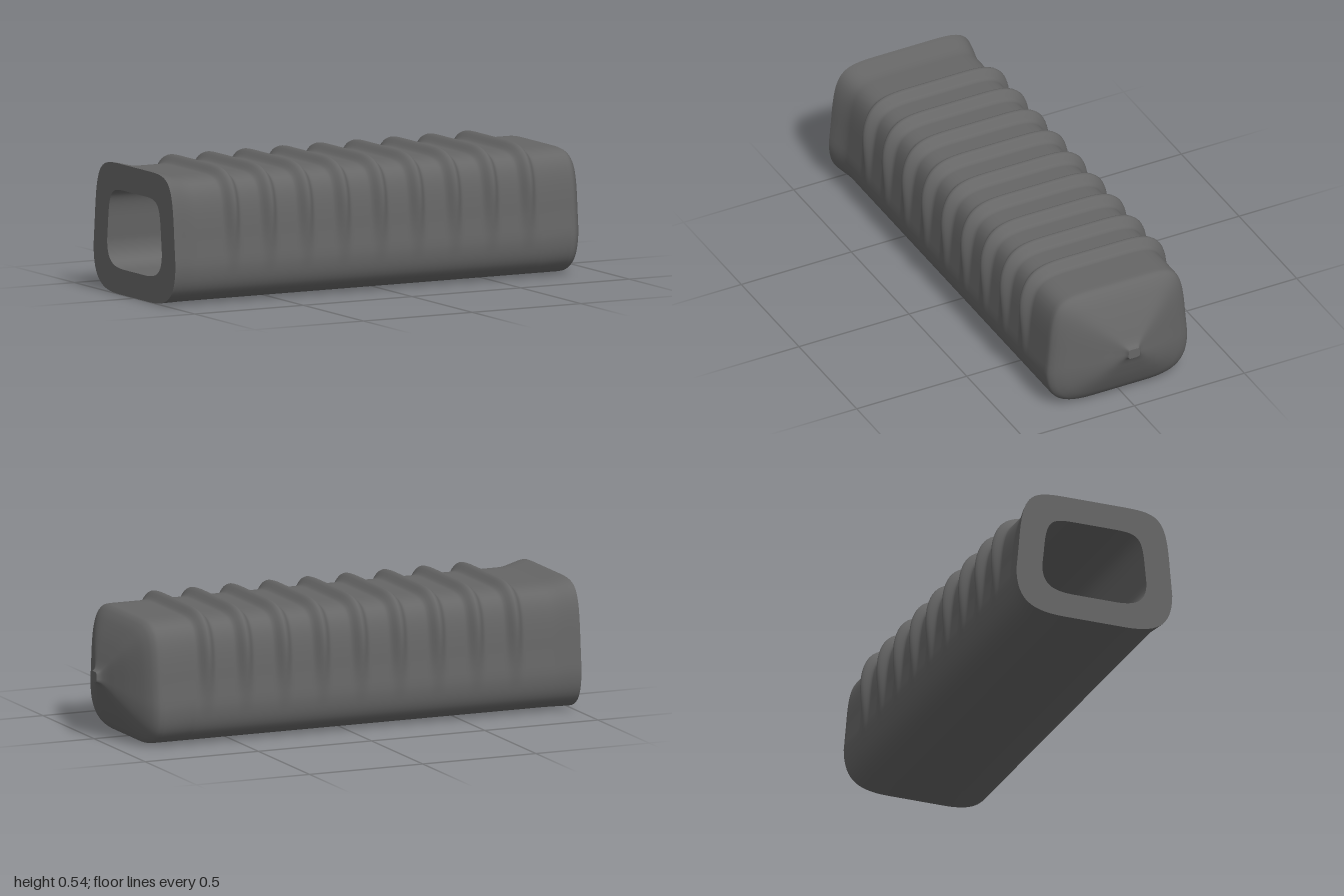
import * as THREE from 'three';

const V = (z, y) => new THREE.Vector2(z, y);
const { smoothstep } = THREE.MathUtils;

// Half of the body section (z, y), from top centre down the +z side to bottom centre
function makeSection() {
  const path = new THREE.CurvePath();
  const half = [];
  const add = (curve, n) => curve.getPoints(n).slice(0, -1).forEach(p => half.push(p));
  add(new THREE.LineCurve(V(0, 0.51), V(0.12, 0.51)), 4);
  add(new THREE.CubicBezierCurve(V(0.12, 0.51), V(0.27, 0.51), V(0.295, 0.49), V(0.31, 0.28)), 20);
  add(new THREE.LineCurve(V(0.31, 0.28), V(0.32, 0.17)), 4);
  add(new THREE.CubicBezierCurve(V(0.32, 0.17), V(0.32, 0.03), V(0.25, 0), V(0.12, 0)), 16);
  add(new THREE.LineCurve(V(0.12, 0), V(0, 0)), 4);
  const mirrored = half.slice(1).reverse().map(p => V(-p.x, p.y));
  return [...half, V(0, 0), ...mirrored];
}

// Skin closed rings of equal length, in order
function loft(rings) {
  const n = rings[0].length, index = [];
  for (let i = 0; i < rings.length - 1; i++) {
    for (let j = 0; j < n; j++) {
      const a = i * n + j, b = i * n + (j + 1) % n;
      index.push(a, b, a + n, b, b + n, a + n);
    }
  }
  const geometry = new THREE.BufferGeometry().setFromPoints(rings.flat());
  geometry.setIndex(index);
  geometry.computeVertexNormals();
  return geometry;
}

export function createModel() {
  const group = new THREE.Group();
  const rubber = new THREE.MeshStandardMaterial({ color: 0x666666 });
  rubber.name = 'dark grey rubber';
  const section = makeSection();
  const count = section.length;
  const normals = section.map((p, j) => {
    const t = section[(j + 1) % count].clone().sub(section[(j + count - 1) % count]);
    return V(-t.y, t.x).normalize();
  });

  // Ridges: nine bumps, strongest on top and fading down the sides
  const ridgeXs = Array.from({ length: 9 }, (_, i) => -0.72 + i * 0.17);
  const ridge = x => ridgeXs.reduce((h, c) => {
    const d = Math.abs(x - c) / 0.045;
    return d < 1 ? h + 0.035 * Math.cos(d * Math.PI / 2) ** 2 : h;
  }, 0);

  const bodyRing = x => {
    const flare = 1 - smoothstep(x, -1.02, -0.88);
    const h = ridge(x);
    return section.map((p, j) => {
      const r = h * smoothstep(p.y, 0.12, 0.42);
      return new THREE.Vector3(x,
        p.y * (1 + 0.045 * flare) + normals[j].y * r,
        p.x * (1 + 0.066 * flare) + normals[j].x * r);
    });
  };
  const scaledRing = (x, s) => section.map(p =>
    new THREE.Vector3(x, 0.255 + (p.y - 0.255) * s, p.x * s));
  const innerRing = (x, s = 1) => section.map(p =>
    new THREE.Vector3(x, 0.265 + (p.y - 0.255) * 0.63 * s, p.x * 0.71 * s));

  const add = (name, rings) => {
    const mesh = new THREE.Mesh(loft(rings), rubber);
    mesh.name = name;
    group.add(mesh);
  };

  // Ribbed sleeve with the tapered nose
  const sleeve = [];
  for (let i = 0; i <= 200; i++) sleeve.push(bodyRing(-1 + i * 0.0085));
  const nose = [[0.83, 1], [0.85, 0.994], [0.865, 0.965], [0.88, 0.91], [0.9, 0.8],
    [0.93, 0.58], [0.955, 0.36], [0.972, 0.2], [0.985, 0.115], [1, 0.082]];
  const noseCurve = new THREE.SplineCurve(nose.map(([x, s]) => V(x, s)));
  noseCurve.getPoints(45).forEach(p => sleeve.push(scaledRing(p.x, p.y)));
  add('ribbedSleeve', sleeve);

  // Flat end of the nose
  add('noseTip', [scaledRing(1, 0.082), scaledRing(1, 0)]);

  // Flat rim around the opening, and the hollow behind it
  add('openRim', [innerRing(-1), bodyRing(-1)]);
  add('hollowWall', [innerRing(0.8), innerRing(-0.1), innerRing(-1)]);
  add('hollowEnd', [innerRing(0.8, 0), innerRing(0.8)]);
  return group;
}
